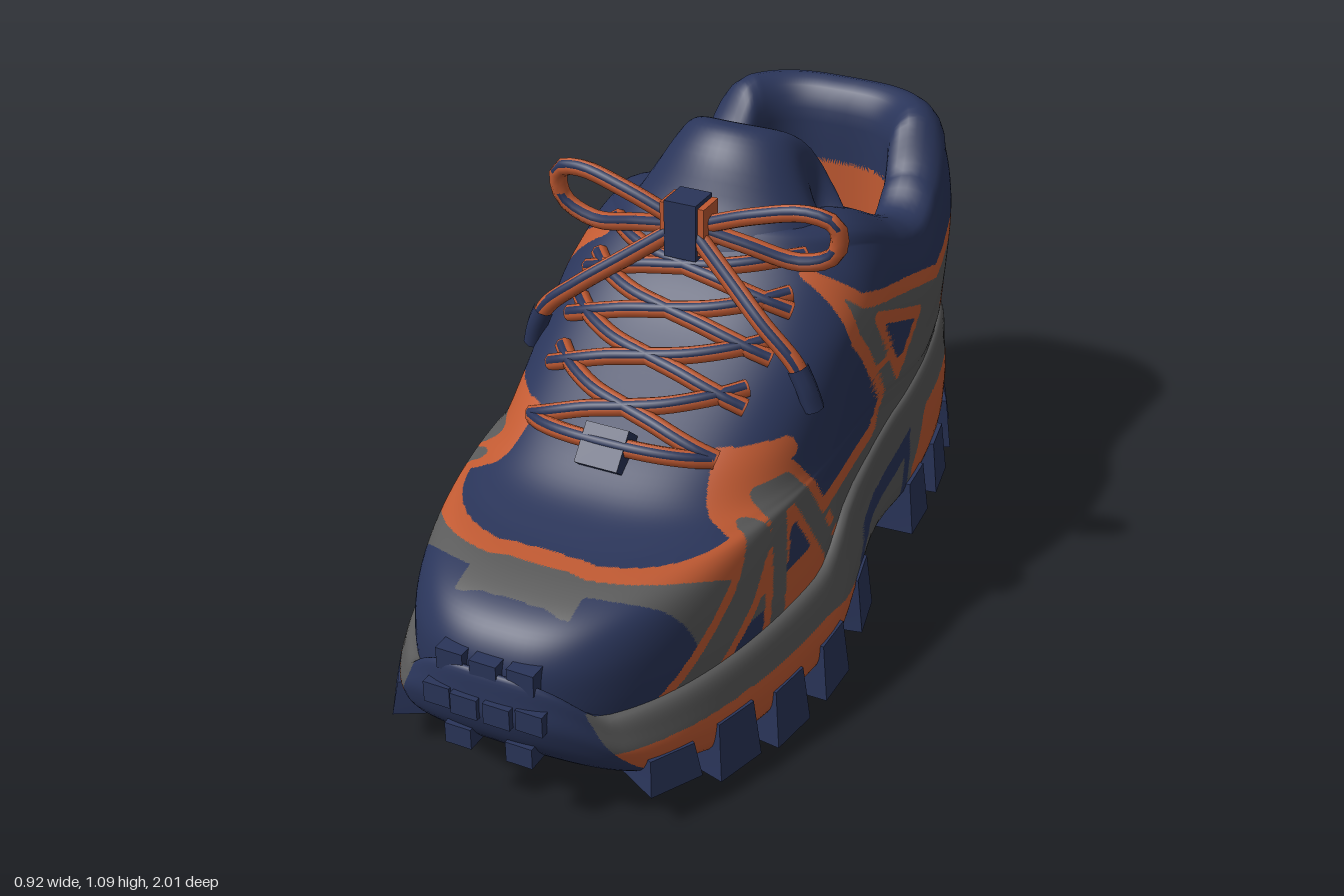
import * as THREE from 'three';

const navy = new THREE.MeshStandardMaterial({ name: 'navy', color: 0x2a355a });
const orange = new THREE.MeshStandardMaterial({ name: 'orange', color: 0xc15a32 });
const grey = new THREE.MeshStandardMaterial({ name: 'grey', color: 0x5a5a5a });
const palette = [navy, orange, grey];
const NAVY = 0, ORANGE = 1, GREY = 2;
const { lerp, clamp, smoothstep } = THREE.MathUtils;

// Eased interpolation through [input, output] pairs
const ramp = (pts) => (v) => {
  let i = 0;
  while (i < pts.length - 2 && v > pts[i + 1][0]) i++;
  return lerp(pts[i][1], pts[i + 1][1], smoothstep(v, pts[i][0], pts[i + 1][0]));
};

// Catmull-Rom interpolation through rows of numbers
function spline(rows, u) {
  const last = rows.length - 1, i = Math.min(Math.floor(u), last - 1), t = u - i;
  const at = (k) => rows[clamp(k, 0, last)];
  return rows[0].map((_, c) => {
    const a = at(i - 1)[c], b = at(i)[c], d = at(i + 1)[c], e = at(i + 2)[c];
    return b + 0.5 * t * (d - a + t * (2 * a - 5 * b + 4 * d - e + t * (3 * (b - d) + e - a)));
  });
}

// Shoe-shaped horizontal outline; angle 0 is the toe, a quarter turn is +x
const NF = 2.6, NB = 3.2;
function outline(a, zf, W, zb, zc, heelRatio) {
  const c = Math.cos(a), s = Math.sin(a), n = c > 0 ? NF : NB;
  const z = zc + (c > 0 ? zf - zc : zc - zb) * Math.sign(c) * Math.abs(c) ** (2 / n);
  return [Math.sign(s) * Math.abs(s) ** (2 / n) * W * lerp(heelRatio, 1, smoothstep(z, -0.2, 0.3)), z];
}

// Surface from rows of closed rings; faces crossing a colour border are split finer
function rings(rows, cols, point, paint) {
  const pos = [], index = [], lists = [[], [], []];
  for (let i = 0; i < rows; i++) for (let j = 0; j < cols; j++) pos.push(...point(i, j));
  for (let i = 0; i < rows - 1; i++) for (let j = 0; j < cols; j++) {
    const j2 = (j + 1) % cols, a = i * cols + j, b = i * cols + j2;
    index.push(a, b, b + cols, a, b + cols, a + cols);
  }
  const g = new THREE.BufferGeometry();
  g.setAttribute('position', new THREE.Float32BufferAttribute(pos, 3));
  g.setIndex(index);
  g.computeVertexNormals();
  const nor = g.attributes.normal.array;
  const vertex = (k) => [...pos.slice(k * 3, k * 3 + 3), ...nor.slice(k * 3, k * 3 + 3)];
  const mid = (p, q) => p.map((v, k) => (v + q[k]) / 2);
  const emit = (a, b, c, row, depth) => {
    const [m, n, o] = [a, b, c].map((v) => paint(Math.abs(v[0]), v[1], v[2], row));
    if (depth && (m !== n || n !== o)) {
      const ab = mid(a, b), bc = mid(b, c), ca = mid(c, a);
      for (const t of [[a, ab, ca], [ab, b, bc], [ca, bc, c], [ab, bc, ca]]) emit(...t, row, depth - 1);
    } else lists[n === o ? n : m].push(a, b, c);
  };
  for (let k = 0; k < index.length; k += 3)
    emit(vertex(index[k]), vertex(index[k + 1]), vertex(index[k + 2]), Math.floor(k / (6 * cols)), 2);
  const all = lists.flat(), out = new THREE.BufferGeometry();
  out.setAttribute('position', new THREE.Float32BufferAttribute(all.flatMap((v) => v.slice(0, 3)), 3));
  out.setAttribute('normal', new THREE.Float32BufferAttribute(all.flatMap((v) => v.slice(3)), 3));
  let start = 0;
  lists.forEach((l, m) => { if (l.length) out.addGroup(start, l.length, m); start += l.length; });
  return out;
}

// Side-pattern tests in (z, y)
function inside(p, z, y) {
  let hit = false;
  for (let i = 0, j = p.length - 1; i < p.length; j = i++)
    if (p[i][1] > y !== p[j][1] > y &&
      z < (p[j][0] - p[i][0]) * (y - p[i][1]) / (p[j][1] - p[i][1]) + p[i][0]) hit = !hit;
  return hit;
}
function near(p, z, y, w, closed) {
  for (let i = closed ? 0 : 1; i < p.length; i++) {
    const [az, ay] = p[(i + p.length - 1) % p.length], dz = p[i][0] - az, dy = p[i][1] - ay;
    const t = clamp(((z - az) * dz + (y - ay) * dy) / (dz * dz + dy * dy), 0, 1);
    if (Math.hypot(z - az - t * dz, y - ay - t * dy) < w) return true;
  }
  return false;
}

// Pattern shapes on the upper
const collarLine = [[0, 0.83], [-0.07, 0.765], [-0.29, 0.705], [-0.51, 0.64], [-0.69, 0.7], [-1, 0.78]];
const quarter = [...collarLine, [-1, 0.2], [0.3, 0.2], [0.22, 0.39], [-0.13, 0.41], [-0.17, 0.47], [-0.02, 0.7]];
const quarterEdge = [[0, 0.83], [-0.01, 0.7], [-0.17, 0.48], [-0.13, 0.41], [0.17, 0.4]];
const counter = [[-1.05, 0.65], [-0.7, 0.585], [-0.62, 0.51], [-0.7, 0.43], [-0.8, 0.38], [-1.05, 0.36]];
const sideWindow = [[-0.115, 0.705], [-0.375, 0.6], [-0.265, 0.49]];
const braceBars = [[0.43, 0.22], [0.37, 0.5], [0.3, 0.5], [0.13, 0.22]];
const braceWindow = [[0.33, 0.45], [0.375, 0.34], [0.265, 0.34]];
const toeBar = [[0.74, 0.22], [0.53, 0.37], [0.45, 0.46]];
const eyelets = [[0.46, 0.5], [0.37, 0.575], [0.26, 0.57]];

function paintUpper(x, y, z) {
  if (x > 0.2 || z < -0.5) {
    if (inside(braceWindow, z, y)) return NAVY;
    if (near(braceBars, z, y, 0.028) || near(toeBar, z, y, 0.036)) return GREY;
    if (inside(braceBars, z, y) || near(braceBars, z, y, 0.056)) return ORANGE;
    if (near(toeBar, z, y, 0.06) || near(eyelets, z, y, 0.022)) return ORANGE;
    if (near(collarLine, z, y, 0.016) || near(quarterEdge, z, y, 0.018)) return ORANGE;
    if (near(counter, z, y, 0.017, true) || near(sideWindow, z, y, 0.015, true)) return ORANGE;
    if (inside(counter, z, y) || inside(sideWindow, z, y)) return NAVY;
    if (inside(quarter, z, y)) return GREY;
  }
  if (z > 0.38 && y > 0.3) {
    const e = ((x / 0.36) ** 2.6 + ((z - 0.35) / 0.42) ** 2.6) ** (1 / 2.6) + 0.03 * clamp((0.11 - x) / 0.04, 0, 1);
    if (e > 0.89 && e < 1) return ORANGE;
    if (e >= 1 && e < (x < 0.13 ? 1.24 : 1.1)) return GREY;
  }
  return NAVY;
}

// Upper rows: front height, front z, half width, back z, widest z, heel width ratio
const upperRows = [
  [0.2, 0.95, 0.395, -0.92, 0.05, 0.9], [0.3, 0.96, 0.39, -0.915, 0.05, 0.91], [0.38, 0.95, 0.383, -0.91, 0.03, 0.93],
  [0.44, 0.9, 0.378, -0.91, 0, 0.94], [0.475, 0.8, 0.375, -0.905, 0, 0.96], [0.49, 0.67, 0.372, -0.9, -0.02, 0.97],
  [0.515, 0.56, 0.372, -0.9, -0.05, 0.98], [0.58, 0.45, 0.373, -0.895, -0.1, 0.98], [0.66, 0.32, 0.375, -0.89, -0.15, 0.98],
  [0.74, 0.2, 0.373, -0.885, -0.2, 0.98], [0.82, 0.1, 0.36, -0.875, -0.28, 0.97], [0.88, 0.02, 0.34, -0.86, -0.35, 0.97]];
const rim = ramp([[-0.72, 0.86], [-0.6, 0.78], [-0.48, 0.74], [-0.08, 0.87], [0.02, 0.88]]);
const U_MAX = upperRows.length - 1;

function upperPoint(u, a) {
  const [y, ...ring] = spline(upperRows, u), [x, z] = outline(a, ...ring);
  return new THREE.Vector3(x, 0.2 + (y - 0.2) / 0.68 * (rim(z) - 0.2), z);
}

function makeUpper() {
  const SEG = 7, N = 176, outer = U_MAX * SEG, lip = 10, inner = 8;
  const edge = upperRows[U_MAX].slice(1), hole = [-0.12, 0.215, -0.73, -0.42, 0.9];
  return rings(outer + lip + inner + 2, N, (i, j) => {
    const a = j / N * Math.PI * 2;
    if (i <= outer) return upperPoint(i / SEG, a).toArray();
    const top = upperPoint(U_MAX, a), q = Math.min((i - outer) / lip, 1);
    const k = (1 - Math.cos(Math.PI * q)) / 2;
    const [x, z] = outline(a, ...edge.map((v, c) => lerp(v, hole[c], k)));
    const bump = lerp(0.04, 0.1, clamp((-0.55 - top.z) / 0.2, 0, 1));
    const depth = clamp((i - outer - lip) / inner, 0, 1);
    const y = lerp(top.y + bump * Math.sin(Math.PI * q), 0.38, depth);
    return [i > outer + lip + inner ? 0 : x * (1 + 0.1 * depth), y, z];
  }, (x, y, z, i) => {
    if (i < outer) return paintUpper(x, y, z);
    return i > outer + lip && y > 0.52 && y < 0.76 && z < -0.2 ? ORANGE : NAVY;
  });
}

// Midsole rows: height share, front z, half width, back z, widest z, heel width ratio
const soleRows = [[0, 0.8, 0.3, -0.84, 0, 0.85], [0.15, 0.94, 0.425, -0.95, 0, 0.83], [0.45, 0.985, 0.445, -0.975, 0, 0.83],
  [0.75, 0.985, 0.432, -0.955, 0, 0.85], [1, 0.972, 0.405, -0.92, 0, 0.9], [1, 0.92, 0.35, -0.87, 0, 0.9]];
const soleTop = ramp([[-1, 0.41], [-0.7, 0.42], [-0.3, 0.38], [0, 0.34], [0.25, 0.25], [0.88, 0.26], [0.99, 0.37]]);
const soleBottom = ramp([[-1, 0.05], [-0.45, 0.04], [-0.2, 0.07], [0.05, 0.035], [0.6, 0.035], [0.8, 0.07], [0.98, 0.15]]);
const split = ramp([[-1, 0.31], [-0.5, 0.29], [-0.4, 0.17], [-0.38, 0], [0.02, 0], [0.06, 0.14], [0.3, 0.18], [0.9, 0.19]]);
const archFrame = [[0.06, 0], [-0.03, 0.24], [-0.37, 0.29], [-0.36, 0]];
const archPanel = [[0, 0], [-0.07, 0.19], [-0.33, 0.23], [-0.32, 0]];

function makeMidsole() {
  const SEG = 6, N = 180, rows = (soleRows.length - 1) * SEG + 2;
  return rings(rows, N, (i, j) => {
    const [t, ...ring] = spline(soleRows, Math.max(i - 1, 0) / SEG);
    const [x, z] = outline(j / N * Math.PI * 2, ...ring);
    return [i ? x : 0, lerp(soleBottom(z), soleTop(z), t), z];
  }, (x, y, z, i) => {
    if (i < 5 || (z > 0.7 && x < 0.14 + (0.4 - y) * 0.5)) return NAVY;
    if (inside(archFrame, z, y)) return inside(archPanel, z, y) ? GREY : NAVY;
    if (y < (z < -0.4 ? 0.12 : 0.075)) return NAVY;
    return y < split(z) ? ORANGE : GREY;
  });
}

// Padded tongue rising from the collar, wrapping back at its sides
function makeTongue() {
  const loop = new THREE.CatmullRomCurve3([[1.09, -0.12], [1.05, -0.065], [0.95, -0.01], [0.84, 0.05], [0.74, 0.02],
    [0.76, -0.13], [0.9, -0.18], [1.0, -0.2], [1.07, -0.18]].map(([y, z]) => new THREE.Vector3(0, y, z)), true);
  const ring = loop.getPoints(40).slice(0, 40), R = 33;
  return rings(R, 40, (i, j) => {
    const s = -Math.cos(i / (R - 1) * Math.PI), k = (1 - s ** 6) ** 0.5, p = ring[j];
    const half = 0.28 - 0.55 * Math.max(0, p.y - 0.9);
    return [s * half, 0.86 + (p.y - 0.86) * lerp(k, 1, 0.2 * k) - 0.04 * s * s, -0.08 + (p.z + 0.08) * k - 0.1 * s * s];
  }, () => NAVY);
}

export function createModel() {
  const shoe = new THREE.Group();
  shoe.name = 'trailShoe';
  const add = (name, geometry, material) => {
    const m = new THREE.Mesh(geometry, material);
    m.name = name;
    shoe.add(m);
    return m;
  };
  add('upper', makeUpper(), palette);
  add('midsole', makeMidsole(), palette);
  add('tongue', makeTongue(), palette);

  // Tread lugs around the sole, narrowed toward their outer top edge
  const lugGeo = new THREE.BoxGeometry(0.125, 0.14, 0.28);
  const lp = lugGeo.attributes.position;
  for (let i = 0; i < lp.count; i++)
    if (lp.getY(i) > 0 && lp.getZ(i) > 0) lp.setXYZ(i, lp.getX(i) * 0.85, 0.07, 0.125);
  lugGeo.computeVertexNormals();
  const lugAngle = (z) => z > 0 ? Math.acos((z / 0.985) ** (NF / 2)) : Math.PI - Math.acos((-z / 0.975) ** (NB / 2));
  const lugs = [0.8, 0.64, 0.46, 0.27, 0.01, -0.42, -0.62, -0.83].map((z) => [lugAngle(z), 1]);
  lugs.push([Math.PI - 0.3, 1.6], [Math.PI - 0.07, 1.7]);
  for (const side of [1, -1]) for (const [a, wide] of lugs) {
    const at = (b) => outline(b * side, ...soleRows[2].slice(1));
    const [x, z] = at(a), [x0, z0] = at(a - 0.02), [x1, z1] = at(a + 0.02);
    const turn = Math.atan2(side * (z0 - z1), side * (x1 - x0));
    const lug = add('treadLug', lugGeo, navy), low = z > 0.7 ? 0.55 : 0.95;
    lug.position.set(x - Math.sin(turn) * 0.12, 0.07 * low + clamp((z - 0.55) * 0.3, 0, 0.09), z - Math.cos(turn) * 0.12);
    lug.rotation.y = turn;
    lug.scale.set(wide, low, 1);
  }

  // Small grip blocks on the toe bumper
  for (const [y, z, xs] of [[0.36, 0.95, [-0.08, 0, 0.08]], [0.28, 0.97, [-0.105, -0.037, 0.037, 0.105]], [0.18, 0.95, [-0.07, 0.07]]])
    for (const x of xs) add('toeGrip', new THREE.BoxGeometry(0.06, 0.048, 0.06), navy).position.set(x, y, z - x * x);

  // Laces: orange cord with a navy centre stripe
  const tube = (name, pts, r, mat) =>
    add(name, new THREE.TubeGeometry(new THREE.CatmullRomCurve3(pts), 28, r, 8), mat);
  const cord = (name, pts) => {
    tube(name, pts, 0.02, orange);
    tube(name + 'Stripe', pts.map((p) => p.clone().add(new THREE.Vector3(0, 0.007, 0.0085))), 0.0115, navy);
  };
  const onUpper = (u, a, lift) => {
    const p = upperPoint(u, a), e = 0.02;
    const da = upperPoint(u, a + e).sub(upperPoint(u, a - e)), du = upperPoint(u + e, a).sub(upperPoint(u - e, a));
    return p.addScaledVector(da.cross(du).normalize(), lift);
  };
  const strand = (u0, u1, side, reach) => cord('lace', Array.from({ length: 9 }, (_, i) => {
    const k = i / 8, a = side * lerp(-reach, reach, k) + 0.003;
    return onUpper(lerp(u0, u1, k), a, 0.004 + 0.022 * Math.sin(Math.PI * k) + 0.006 * side * (k - 0.5));
  }));
  strand(7, 7, 1, 0.5);
  for (let i = 0; i < 4; i++) for (const side of [1, -1]) strand(7 + i * 0.85, 8.2 + i * 0.85, side, 0.52 + 0.04 * i);
  const tab = add('laceTab', new THREE.BoxGeometry(0.1, 0.09, 0.05), navy);
  tab.position.set(0, 0.59, 0.465);
  tab.rotation.x = -0.7;

  // Bow with two loops, two loose ends and a knot
  const loopPts = [[0.03, 0.94, 0.07], [0.15, 0.985, 0.07], [0.27, 1.01, 0.06], [0.33, 0.99, 0.05],
    [0.325, 0.92, 0.04], [0.25, 0.885, 0.04], [0.13, 0.91, 0.06], [0.03, 0.93, 0.07]];
  const endPts = [[0.02, 0.93, 0.09], [0.12, 0.86, 0.13], [0.22, 0.79, 0.17], [0.3, 0.72, 0.18], [0.335, 0.64, 0.17]];
  for (const side of [1, -1]) {
    const mirror = (pts) => pts.map(([x, y, z]) => new THREE.Vector3(x * side, y, z));
    cord('bowLoop', mirror(loopPts));
    cord('laceEnd', mirror(endPts));
    tube('laceTip', mirror([[0.305, 0.715, 0.18], [0.325, 0.67, 0.177], [0.34, 0.62, 0.17]]), 0.024, navy);
    add('knotEdge', new THREE.BoxGeometry(0.016, 0.11, 0.07), orange).position.set(0.044 * side, 0.94, 0.075);
  }
  add('knot', new THREE.BoxGeometry(0.075, 0.13, 0.08), navy).position.set(0, 0.94, 0.08);
  return shoe;
}
